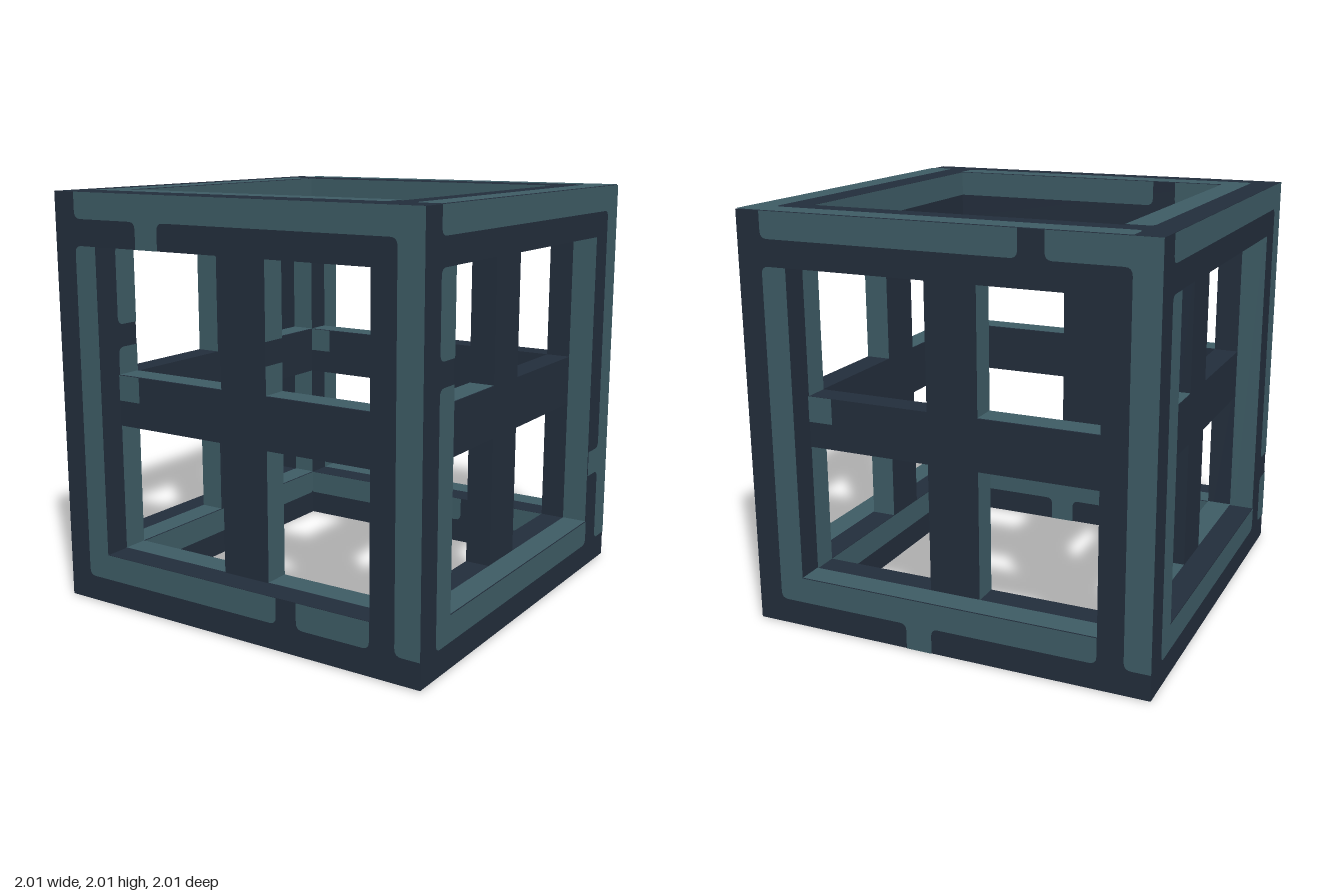
import * as THREE from 'three';

const EPS = 0.003; // lift of painted patches over the dark body
const R = 0.035;   // corner radius of painted patches

// Polygon from [u, v] or [u, v, 1] points; flagged corners are rounded
function patch(points) {
  const s = new THREE.Shape();
  const n = points.length;
  points.forEach((p, i) => {
    const c = new THREE.Vector2(p[0], p[1]);
    const toward = (q) => new THREE.Vector2(q[0], q[1]).sub(c).setLength(R).add(c);
    const a = p[2] ? toward(points[(i + n - 1) % n]) : c;
    if (i === 0) s.moveTo(a.x, a.y); else s.lineTo(a.x, a.y);
    if (p[2]) {
      const b = toward(points[(i + 1) % n]);
      s.quadraticCurveTo(c.x, c.y, b.x, b.y);
    }
  });
  s.closePath();
  return new THREE.ShapeGeometry(s, 4);
}

const transpose = (polys) => polys.map((poly) => poly.map(([u, v, r]) => [v, u, r]));

// The two interlocking L bands, with variants that are broken or have a tab
const OUTER = [[-0.875, 1], [-0.875, 0.875, 1], [0.875, 0.875, 1], [0.875, -0.875, 1], [1, -0.875], [1, 1]];
const INNER = [[-0.875, 0.75, 1], [-0.75, 0.75], [-0.75, -0.75], [0.75, -0.75], [0.75, -0.875, 1], [-0.875, -0.875, 1]];
const OUTER_TAB = [[-0.875, 1], [-0.875, 0.875, 1], [-0.5, 0.875, 1], [-0.5, 0.75], [-0.37, 0.75], [-0.37, 0.875, 1],
  [0.875, 0.875, 1], [0.875, -0.875, 1], [1, -0.875], [1, 1]];
const INNER_TAB = [[-0.875, 0.75, 1], [-0.75, 0.75], [-0.75, -0.75], [0.75, -0.75], [0.75, -0.875, 1],
  [-0.06, -0.875, 1], [-0.06, -1], [-0.19, -1], [-0.19, -0.875, 1], [-0.875, -0.875, 1]];
const innerCut = (a, b) => [
  [[-0.875, 0.75, 1], [-0.75, 0.75], [-0.75, -0.75], [a, -0.75], [a, -0.875, 1], [-0.875, -0.875, 1]],
  [[b, -0.75], [0.75, -0.75], [0.75, -0.875, 1], [b, -0.875, 1]],
];
const outerCut = (a, b) => [
  [[-0.875, 1], [-0.875, 0.875, 1], [a, 0.875, 1], [a, 1]],
  [[b, 1], [b, 0.875, 1], [0.875, 0.875, 1], [0.875, -0.875, 1], [1, -0.875], [1, 1]],
];

const PLAIN = [OUTER, INNER];
const FRONT = [OUTER_TAB, ...innerCut(0.26, 0.37)];
const BACK = [...outerCut(0.38, 0.5), INNER_TAB];
const LEFT = transpose([...outerCut(-0.62, -0.5), INNER]);

const Q = Math.PI / 2;
// Rotation of each side, its bands, and which cross faces are painted:
// top = painted top halves, under = painted underside, gap = break in the upright
const SIDES = [
  { name: 'front', rot: [0, 0], bands: FRONT, cross: { top: [-1, 1], gap: true, square: true } },
  { name: 'right', rot: [0, Q], bands: transpose(FRONT), cross: { top: [-1] } },
  { name: 'back', rot: [0, Math.PI], bands: BACK, cross: { top: [1], under: true, square: true } },
  { name: 'left', rot: [0, -Q], bands: LEFT, cross: { top: [-1], under: true } },
  { name: 'top', rot: [-Q, 0], bands: PLAIN },
  { name: 'bottom', rot: [Q, 0], bands: PLAIN },
];

export function createModel() {
  const navy = new THREE.MeshStandardMaterial({ color: 0x222d3b });
  navy.name = 'dark navy';
  const teal = new THREE.MeshStandardMaterial({ color: 0x3d5b64 });
  teal.name = 'slate teal';

  const model = new THREE.Group();
  model.name = 'cageCube';
  const body = new THREE.Group();
  body.name = 'cage';
  body.position.y = 1;
  model.add(body);

  const add = (parent, name, geo, mat, x, y, z) => {
    const m = new THREE.Mesh(geo, mat);
    m.name = name;
    m.position.set(x, y, z);
    parent.add(m);
    return m;
  };

  // Twelve edge beams
  for (const a of [-0.875, 0.875]) {
    for (const b of [-0.875, 0.875]) {
      add(body, 'cornerPost', new THREE.BoxGeometry(0.25, 2, 0.25), navy, a, 0, b);
      add(body, 'sideRail', new THREE.BoxGeometry(0.25, 0.25, 1.5), navy, a, b, 0);
      add(body, 'crossRail', new THREE.BoxGeometry(1.5, 0.25, 0.25), navy, 0, a, b);
    }
  }

  for (const { name, rot, bands, cross } of SIDES) {
    const side = new THREE.Group();
    side.name = name + 'Side';
    side.rotation.set(rot[0], rot[1], 0);
    body.add(side);

    // Painted bands on the outer face and on the far beams facing the same way
    for (const poly of bands) {
      const geo = patch(poly);
      add(side, 'outerBand', geo, teal, 0, 0, 1 + EPS);
      add(side, 'innerBand', geo, teal, 0, 0, -0.75 + EPS);
    }
    if (!cross) continue;

    // Recessed cross
    add(side, 'crossUpright', new THREE.BoxGeometry(0.25, 1.5, 0.125), navy, 0, 0, 0.8125);
    for (const s of [-1, 1]) {
      add(side, 'crossArm', new THREE.BoxGeometry(0.625, 0.25, 0.125), navy, s * 0.4375, 0, 0.8125);
    }

    // Painted edges of the upright
    const spans = cross.gap
      ? [[-0.75, -0.125], [0.125, 0.26], [0.37, 0.75]]
      : [[-0.75, -0.125], [0.125, 0.75]];
    for (const [a, b] of spans) {
      const strip = add(side, 'uprightEdge', new THREE.PlaneGeometry(0.125, b - a), teal, 0.125 + EPS, (a + b) / 2, 0.8125);
      strip.rotation.y = Q;
    }

    // Painted tops and undersides of the arms
    const armGeo = new THREE.PlaneGeometry(0.625, 0.125);
    for (const s of cross.top) {
      add(side, 'armTop', armGeo, teal, s * 0.4375, 0.125 + EPS, 0.8125).rotation.x = -Q;
    }
    if (cross.under) {
      for (const s of [-1, 1]) {
        add(side, 'armUnderside', armGeo, teal, s * 0.4375, -0.125 - EPS, 0.8125).rotation.x = Q;
      }
    }

    // Small painted square at the end of the arm
    if (cross.square) {
      const sq = new THREE.PlaneGeometry(0.125, 0.125);
      add(side, 'armSquare', sq, teal, -0.6875, 0.0625, 0.875 + EPS);
      add(side, 'farArmSquare', sq, teal, -0.6875, 0.0625, -0.75 + EPS);
    }
  }
  return model;
}
